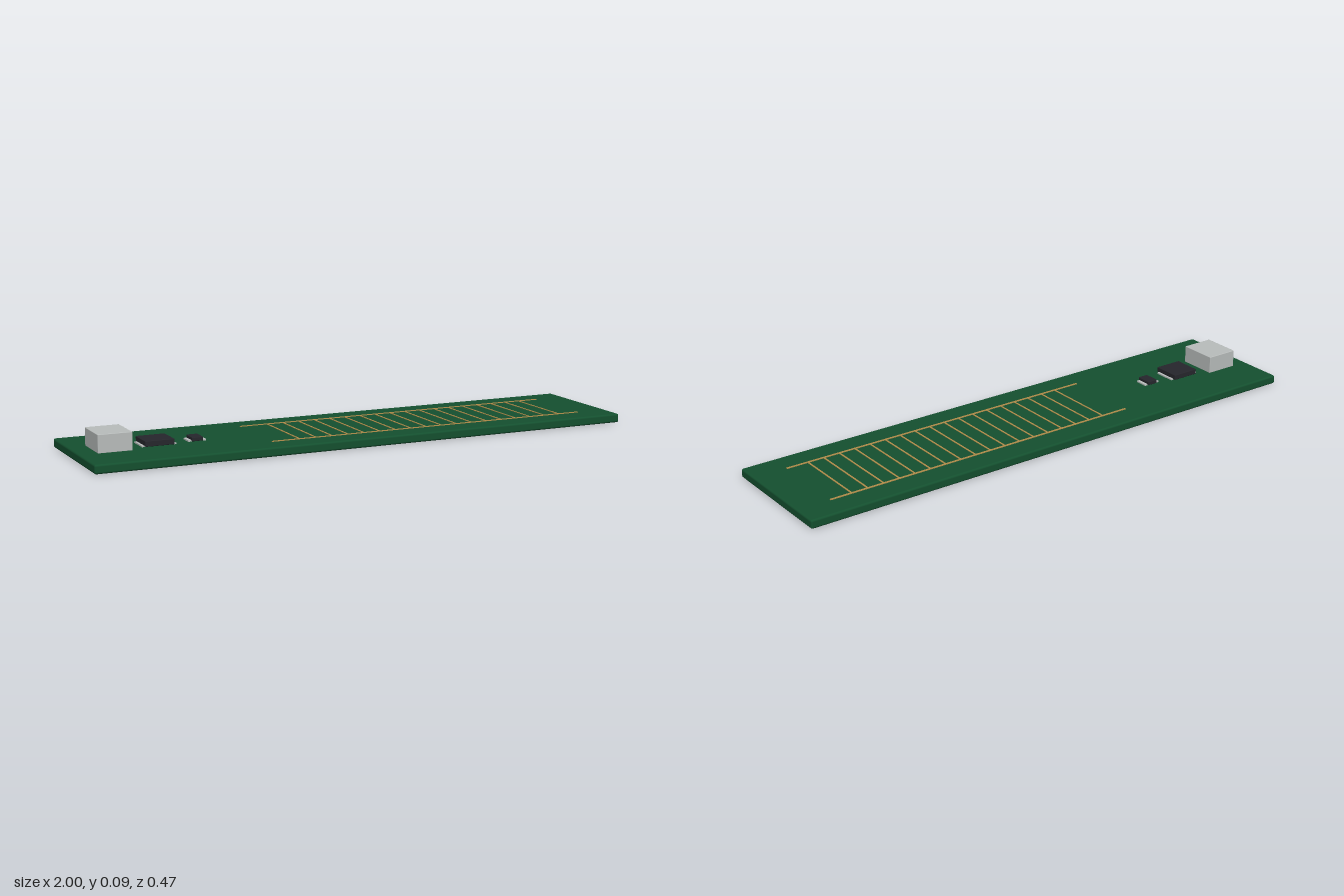
import * as THREE from 'three';
import { RoundedBoxGeometry } from 'three/addons/geometries/RoundedBoxGeometry.js';

const TOP = 0.032; // upper face of the board

export function createModel() {
  const model = new THREE.Group();
  const mat = (color) => new THREE.MeshStandardMaterial({ color });
  const green = mat(0x14502f), silver = mat(0xb9bdbc), black = mat(0x26262c), copper = mat(0xb08d4a);

  // Box given by its centre in x and z, its underside y and its size
  function box(parent, name, material, x, y, z, w, h, d, radius = 0) {
    const geometry = radius
      ? new RoundedBoxGeometry(w, h, d, 3, radius)
      : new THREE.BoxGeometry(w, h, d);
    const mesh = new THREE.Mesh(geometry, material);
    mesh.name = name;
    mesh.position.set(x, y + h / 2, z);
    parent.add(mesh);
  }

  // Chip body with a metal contact strip along each end
  function chip(name, x, bodyW, bodyD, y0, y1, padSpan, padD) {
    const group = new THREE.Group();
    group.name = name;
    box(group, 'chipBody', black, x, y0, 0, bodyW, y1 - y0, bodyD, 0.002);
    const padW = (padSpan - bodyW) / 2 + 0.004;
    for (const side of [-1, 1]) {
      box(group, 'chipContact', silver, x + side * (padSpan - padW) / 2, TOP - 0.001, 0, padW, 0.006, padD);
    }
    model.add(group);
  }

  // Circuit board with softened edges
  box(model, 'board', green, 0, 0, 0, 2, TOP, 0.468, 0.007);

  // Connector and the two chips
  box(model, 'connector', silver, -0.877, TOP - 0.001, 0, 0.12, 0.064, 0.142, 0.002);
  chip('mainChip', -0.714, 0.104, 0.101, 0.034, 0.0535, 0.122, 0.08);
  chip('smallChip', -0.572, 0.04, 0.058, 0.033, 0.047, 0.064, 0.048);

  // Copper ladder: two long rails joined by evenly spaced rungs
  const ladder = new THREE.Group();
  ladder.name = 'copperTraces';
  for (const side of [-1, 1]) {
    box(ladder, 'rail', copper, 0.265, TOP - 0.001, side * 0.143, 1.225, 0.003, 0.008);
  }
  for (let i = 0; i < 18; i++) {
    box(ladder, 'rung', copper, -0.244 + i * 0.0612, TOP - 0.001, 0, 0.006, 0.0028, 0.286);
  }
  model.add(ladder);

  return model;
}
